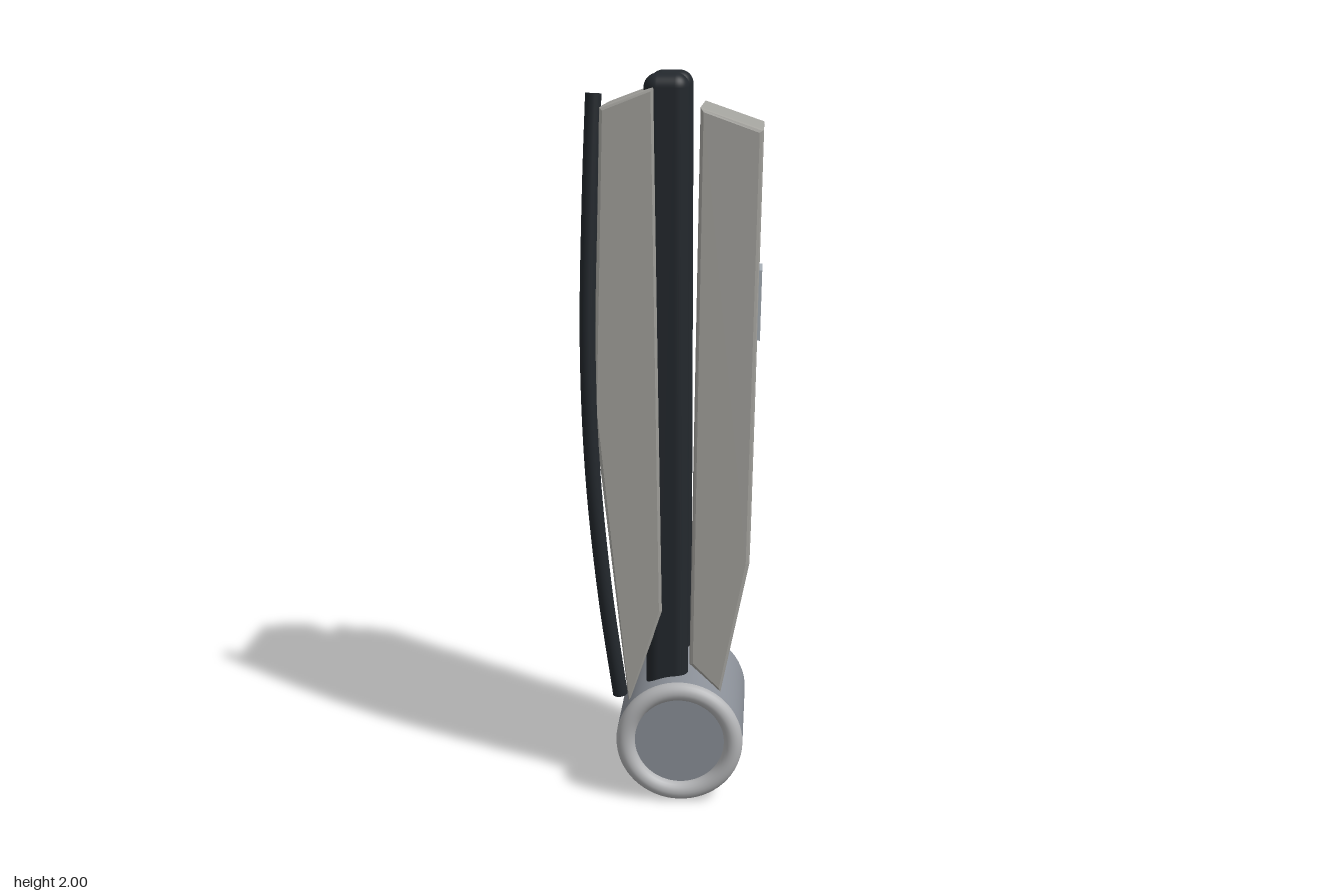
import * as THREE from 'three';
import { RoundedBoxGeometry } from 'three/addons/geometries/RoundedBoxGeometry.js';

const mat = (color) => new THREE.MeshStandardMaterial({ color });

export function createModel() {
  const group = new THREE.Group();
  const shell = mat(0xa3a29d), dark = mat(0x23282d), steel = mat(0x8b9098);
  const bright = mat(0xb4b5b7), pad = mat(0xa9b0b8);

  const add = (name, geometry, material, x = 0, y = 0, z = 0) => {
    const mesh = new THREE.Mesh(geometry, material);
    mesh.name = name;
    mesh.position.set(x, y, z);
    group.add(mesh);
    return mesh;
  };

  // Side panel: outline in x/y, extruded from zBack to zFront with a small bevel inside the outline
  const panel = (name, outline, zBack, zFront) => {
    const bevel = 0.01;
    const shape = new THREE.Shape(outline.map(([x, y]) => new THREE.Vector2(x, y)));
    const geometry = new THREE.ExtrudeGeometry(shape, {
      depth: zFront - zBack - 2 * bevel,
      bevelThickness: bevel, bevelSize: bevel, bevelOffset: -bevel, bevelSegments: 2,
    });
    add(name, geometry, shell, 0, 0, zBack + bevel);
  };

  // Horizontal barrel at the foot, with a rounded rim on its front end
  const bx = 0.027, by = 0.18, br = 0.177;
  add('barrel', new THREE.CylinderGeometry(br, br, 0.37, 64), steel, bx, by, -0.015).rotation.x = Math.PI / 2;
  add('barrelRim', new THREE.TorusGeometry(br - 0.026, 0.026, 20, 64), bright, bx, by, 0.17);

  // Two upright rods between the panels
  const rodBottom = 0.22;
  for (const [name, z] of [['frontRod', 0.084], ['backRod', -0.114]]) {
    add(name, new RoundedBoxGeometry(0.117, 2 - rodBottom, 0.088, 6, 0.036), dark,
      -0.012, (2 + rodBottom) / 2, z);
  }

  // Panels on both sides
  panel('rightPanel', [
    [-0.183, 1.915], [-0.207, 1.12], [-0.118, 0.27], [-0.022, 0.55], [-0.042, 1.967],
  ], -0.165, 0.133);
  panel('leftPanel', [
    [0.077, 1.917], [0.053, 0.4], [0.14, 0.318], [0.216, 0.7], [0.237, 1.862],
  ], -0.177, 0.147);

  // Small plate set on the left panel, following its slight lean
  const plate = add('sidePlate', new THREE.BoxGeometry(0.016, 0.19, 0.116), pad, 0.2285, 1.395, -0.012);
  plate.rotation.z = -Math.atan2(0.021, 1.162);

  // Bowed cord along the front corner of the right panel
  const cord = new THREE.CatmullRomCurve3([
    [-0.197, 1.95, 0.113], [-0.208, 1.7, 0.124], [-0.219, 1.3, 0.132],
    [-0.211, 0.95, 0.127], [-0.184, 0.6, 0.108], [-0.146, 0.28, 0.085],
  ].map((p) => new THREE.Vector3(...p)));
  const cordRadius = 0.021;
  add('cord', new THREE.TubeGeometry(cord, 40, cordRadius, 20, false), dark);
  for (const [t, sign] of [[0, -1], [1, 1]]) {
    const p = cord.getPoint(t);
    const cap = add('cordEnd', new THREE.CircleGeometry(cordRadius, 20), dark, p.x, p.y, p.z);
    cap.quaternion.setFromUnitVectors(new THREE.Vector3(0, 0, 1), cord.getTangent(t).multiplyScalar(sign));
  }

  return group;
}
